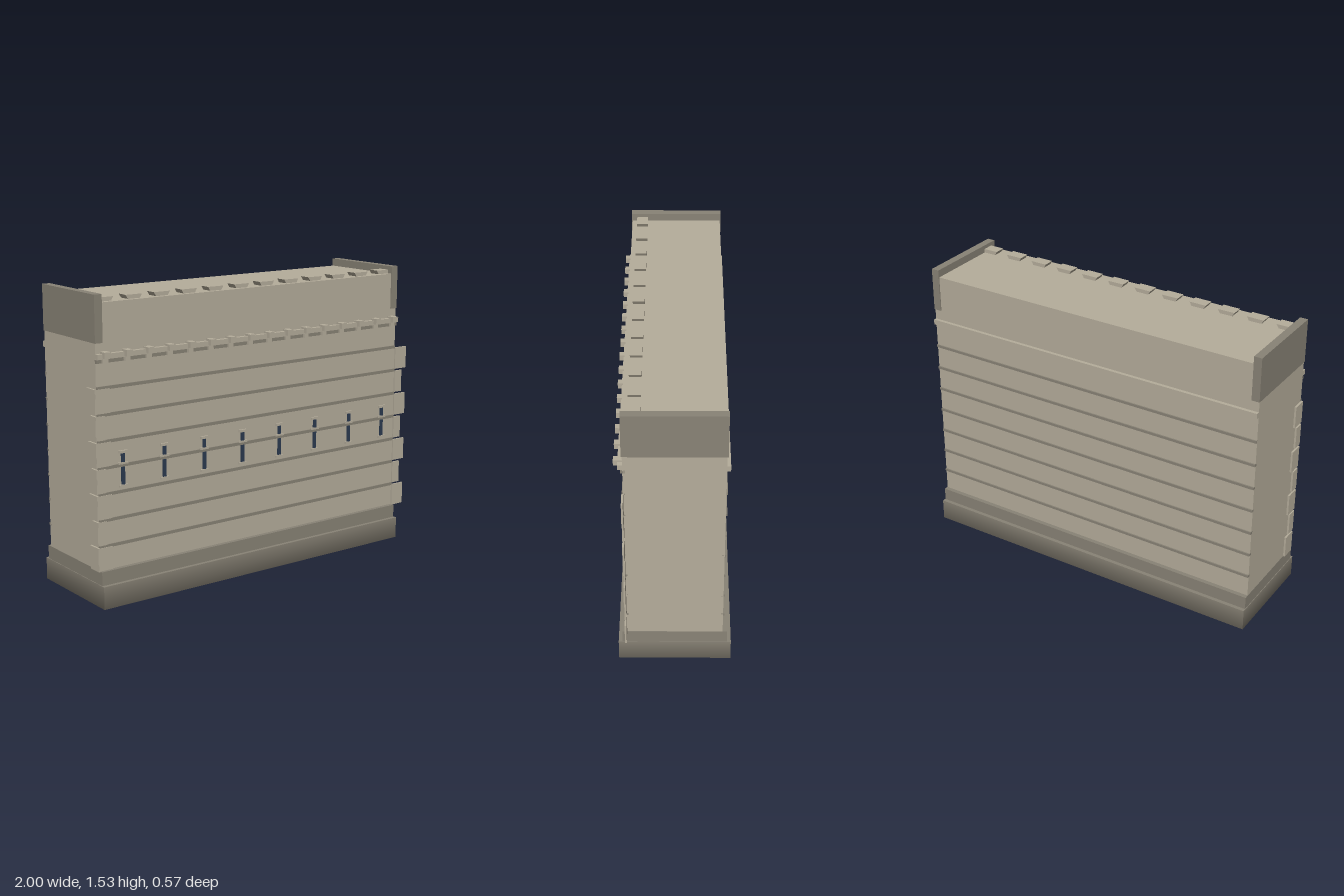
import * as THREE from 'three';

const X0 = -0.99, X1 = 0.92; // ends of the wall
const MID = (X0 + X1) / 2;

export function createModel() {
  const stone = new THREE.MeshStandardMaterial({ color: 0xb5ad9b });
  stone.name = 'stone';
  const darkStone = new THREE.MeshStandardMaterial({ color: 0x898376 });
  darkStone.name = 'dark stone';
  const slitBlue = new THREE.MeshStandardMaterial({ color: 0x2b3a50 });
  slitBlue.name = 'slit blue';

  const model = new THREE.Group();
  model.name = 'wallSection';

  // box given by its limits on each axis
  function block(name, material, xa, xb, ya, yb, za, zb, parent = model) {
    const geometry = new THREE.BoxGeometry(xb - xa, yb - ya, zb - za);
    geometry.translate((xa + xb) / 2, (ya + yb) / 2, (za + zb) / 2);
    const mesh = new THREE.Mesh(geometry, material);
    mesh.name = name;
    parent.add(mesh);
    return mesh;
  }
  function group(name) {
    const g = new THREE.Group();
    g.name = name;
    model.add(g);
    return g;
  }

  // main wall and stepped plinth
  block('wallBody', stone, X0, X1, 0.1, 1.49, -0.24, 0.24);
  block('plinthStep', darkStone, X0 - 0.002, X1 + 0.002, 0.1, 0.185, -0.263, 0.263);
  const plinth = block('plinth', darkStone, X0 - 0.005, X1 + 0.005, 0, 0.115, -0.283, 0.283);
  // softened lower edge of the plinth
  const pos = plinth.geometry.attributes.position, nor = plinth.geometry.attributes.normal;
  const n = new THREE.Vector3();
  for (let i = 0; i < pos.count; i++) {
    n.fromBufferAttribute(nor, i);
    if (pos.getY(i) < 0.01 && Math.abs(n.y) < 0.5) {
      n.y = -0.5;
      n.normalize();
      nor.setXYZ(i, n.x, n.y, n.z);
    }
  }

  // horizontal course lines on front and back
  const courses = group('courseLines');
  for (let i = 0; i < 7; i++) {
    const y = 0.305 + i * 0.13;
    block('frontCourse', darkStone, X0, X1, y - 0.008, y + 0.008, 0.23, 0.245, courses);
    block('backCourse', darkStone, X0, X1, y - 0.007, y + 0.007, -0.247, -0.23, courses);
  }

  // alternating corner stones
  const corners = group('cornerStones');
  for (let i = 0; i < 7; i++) {
    const wide = i % 2 === 0;
    const ya = 0.182 + i * 0.13, yb = ya + 0.119;
    const w = wide ? 0.08 : 0.05;
    block('rightCornerFront', stone, X0 - 0.008, X0 - 0.008 + w, ya, yb, 0.232, 0.247, corners);
    block('rightCornerSide', stone, X0 - 0.01, X0 + 0.005, ya, yb, wide ? 0.17 : 0.195, 0.246, corners);
    block('leftCornerFront', stone, X1, X1 + w, ya, yb, 0.238, 0.247, corners);
  }

  // moulding bands
  const moulding = group('moulding');
  block('frontBandUpper', stone, X0, X1, 1.225, 1.25, 0.23, 0.263, moulding);
  block('frontBandLower', darkStone, X0, X1, 1.205, 1.222, 0.23, 0.25, moulding);
  block('backBand', stone, X0, X1, 1.217, 1.245, -0.258, -0.23, moulding);
  for (let i = 0; i < 16; i++) {
    const x = -0.947 + i * 0.1217;
    block('bracketHead', stone, x - 0.017, x + 0.017, 1.23, 1.26, 0.235, 0.283, moulding);
    block('bracketFoot', stone, x - 0.014, x + 0.014, 1.205, 1.23, 0.235, 0.264, moulding);
  }

  // raised end caps
  block('rightEndCap', darkStone, X0 - 0.002, -0.95, 1.3, 1.53, -0.245, 0.245);
  block('leftEndCap', darkStone, 0.88, X1 + 0.002, 1.3, 1.53, -0.245, 0.245);

  // stones along the top edge, wider at the top
  const topStones = group('topStones');
  const profile = new THREE.Shape([
    new THREE.Vector2(-0.033, 0), new THREE.Vector2(0.033, 0),
    new THREE.Vector2(0.046, 0.022), new THREE.Vector2(-0.046, 0.022),
  ]);
  const stoneGeometry = new THREE.ExtrudeGeometry(profile, { depth: 0.06, bevelEnabled: false });
  for (let i = 0; i < 12; i++) {
    const mesh = new THREE.Mesh(stoneGeometry, stone);
    mesh.name = 'topStone';
    mesh.position.set(MID + (i - 5.5) * 0.16, 1.488, 0.155);
    topStones.add(mesh);
  }

  // narrow slits with stone sills and lintels
  const slits = group('slits');
  for (let i = 0; i < 8; i++) {
    const x = -0.85 + i * 0.24;
    block('slitUpper', slitBlue, x - 0.01, x + 0.01, 0.71, 0.757, 0.238, 0.246, slits);
    block('slitLower', slitBlue, x - 0.01, x + 0.01, 0.597, 0.687, 0.238, 0.246, slits);
    block('lintel', stone, x - 0.023, x + 0.023, 0.755, 0.768, 0.235, 0.25, slits);
    block('crossBar', stone, x - 0.027, x + 0.027, 0.7, 0.71, 0.235, 0.248, slits);
    block('sill', stone, x - 0.023, x + 0.023, 0.586, 0.598, 0.235, 0.25, slits);
  }

  return model;
}
